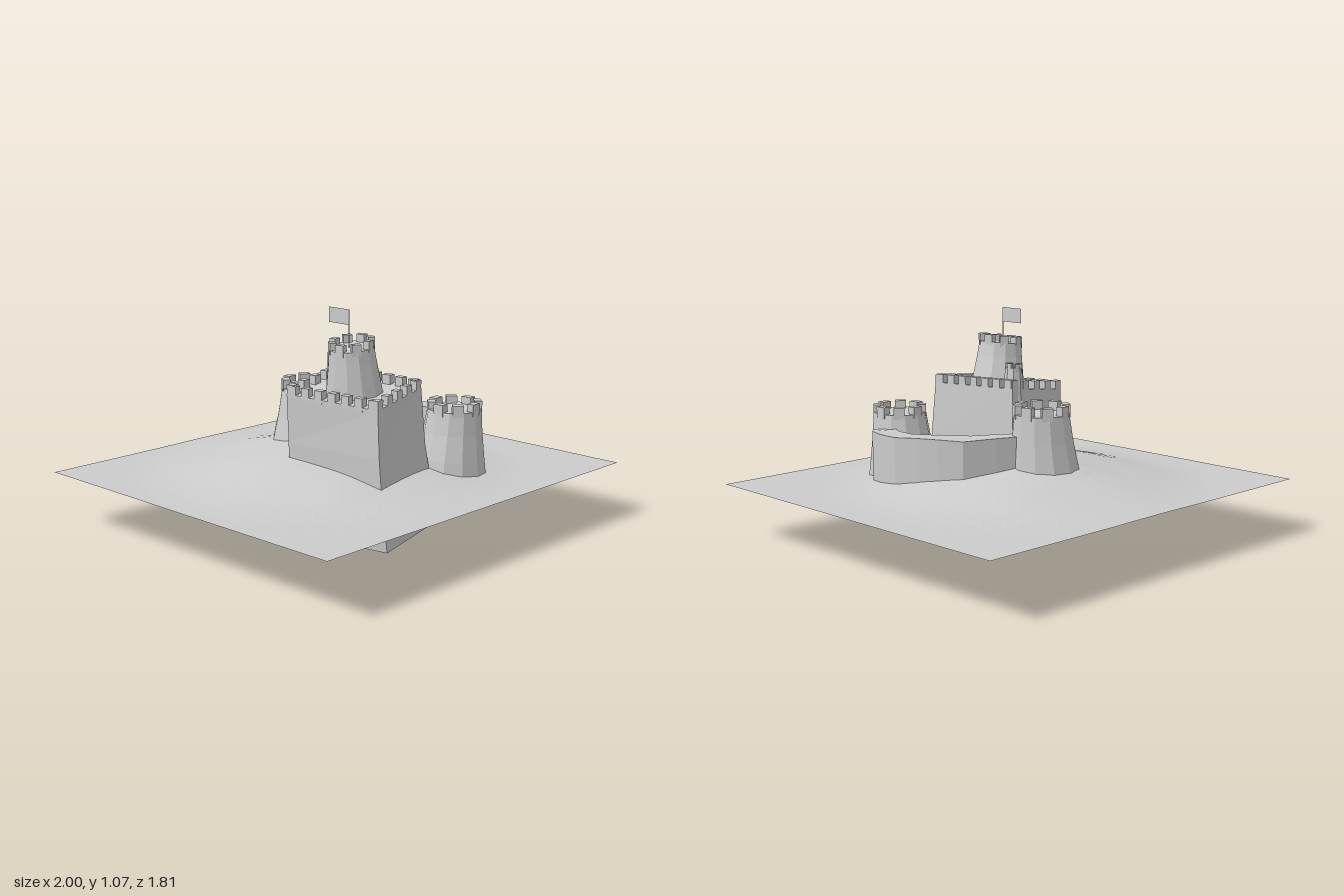
import * as THREE from 'three';

const V = (x, y, z) => new THREE.Vector3(x, y, z);
const material = new THREE.MeshStandardMaterial({ color: 0xcccccc, flatShading: true });
const thinMaterial = new THREE.MeshStandardMaterial({ color: 0xcccccc, flatShading: true, side: THREE.DoubleSide });

function add(parent, geometry, name, mat = material) {
  const mesh = new THREE.Mesh(geometry, mat);
  mesh.name = name;
  parent.add(mesh);
  return mesh;
}

// Skin a series of equal-length point rings and cap both ends.
function loft(rings) {
  const out = [];
  const tri = (...pts) => pts.forEach((p) => out.push(p.x, p.y, p.z));
  const n = rings[0].length;
  const middle = (ring) => ring.reduce((s, p) => s.add(p), V(0, 0, 0)).divideScalar(n);
  const first = rings[0], last = rings[rings.length - 1];
  const c0 = middle(first), c1 = middle(last);
  for (let i = 0; i < n; i++) {
    const j = (i + 1) % n;
    for (let k = 0; k + 1 < rings.length; k++) {
      const a = rings[k], b = rings[k + 1];
      tri(a[i], a[j], b[j]);
      tri(a[i], b[j], b[i]);
    }
    tri(c0, first[j], first[i]);
    tri(c1, last[i], last[j]);
  }
  const g = new THREE.BufferGeometry();
  g.setAttribute('position', new THREE.Float32BufferAttribute(out, 3));
  g.computeVertexNormals();
  return g;
}

// Ring of points around a centre; tilt raises the +x side.
function circle([x, y, z, r], sides, tilt = 0) {
  return Array.from({ length: sides }, (_, i) => {
    const a = (i / sides) * Math.PI * 2;
    return V(x + r * Math.cos(a), y + tilt * r * Math.cos(a), z - r * Math.sin(a));
  });
}

// A merlon block whose outer face sits at point p, facing along angle.
function merlon(parent, p, angle, width, height, depth) {
  const g = new THREE.BoxGeometry(depth, height + 0.02, width);
  g.translate(-depth / 2, height / 2 - 0.01, 0);
  const m = add(parent, g, 'merlon');
  m.position.copy(p);
  m.rotation.y = angle;
}

// Tapered round tower; sections are [x, y, z, radius].
function tower(name, sections, { sides = 12, tilt = 0, count = 8, block, phase = 0.2 }) {
  const g = new THREE.Group();
  g.name = name;
  add(g, loft(sections.map((s, i) => circle(s, sides, (tilt * i) / (sections.length - 1)))), name + 'Body');
  const [x, y, z, r] = sections[sections.length - 1];
  for (let i = 0; i < count; i++) {
    const a = phase + (i / count) * Math.PI * 2;
    const c = Math.cos(a) * r * 0.99;
    merlon(g, V(x + c, y + tilt * c, z - Math.sin(a) * r * 0.99), a, ...block);
  }
  return g;
}

// Gentle hill, open underneath.
function hill() {
  const g = new THREE.PlaneGeometry(2, 1.81, 26, 24).rotateX(-Math.PI / 2);
  const p = g.attributes.position;
  for (let i = 0; i < p.count; i++) {
    const x = p.getX(i), z = p.getZ(i);
    const r = Math.min(1, Math.hypot(x + 0.04, z + 0.03) / 0.95);
    const f = (1 + Math.cos(Math.PI * r)) / 2;
    const bump = 0.06 * Math.sin(9 * x + 5 * z) * Math.sin(7 * z - 4 * x);
    p.setY(i, 0.268 + 0.14 * f * (1 + bump));
  }
  g.computeVertexNormals();
  return g;
}

export function createModel() {
  const model = new THREE.Group();
  model.name = 'castle';
  add(model, hill(), 'hill', thinMaterial);

  // Leaning square keep with a deep foundation; corners run front right, back right, back left, front left
  const keep = new THREE.Group();
  keep.name = 'keep';
  const keepTop = [V(0.085, 0.71, 0.435), V(0.03, 0.725, -0.045), V(-0.335, 0.68, -0.01), V(-0.265, 0.67, 0.49)];
  add(keep, loft([
    [V(0.155, 0.055, 0.46), V(0.08, 0.05, -0.065), V(-0.3, 0.002, -0.015), V(-0.225, 0.015, 0.515)],
    [V(0.125, 0.3, 0.46), V(0.055, 0.3, -0.065), V(-0.318, 0.28, -0.015), V(-0.258, 0.28, 0.51)],
    [V(0.1, 0.45, 0.45), V(0.04, 0.45, -0.055), V(-0.325, 0.45, -0.01), V(-0.265, 0.45, 0.5)],
    keepTop,
  ]), 'keepBody');
  keepTop.forEach((a, i) => {
    const b = keepTop[(i + 1) % 4];
    const d = b.clone().sub(a);
    const angle = Math.atan2(-d.z, d.x) - Math.PI / 2;
    const count = i % 2 ? 5 : 7;
    for (let k = 0; k < count; k++) {
      merlon(keep, a.clone().lerp(b, 0.06 + (0.88 * k) / (count - 1)), angle, 0.042, 0.04, 0.035);
    }
  });
  model.add(keep);

  // Round towers
  model.add(tower('greatTower', [
    [-0.125, 0.66, 0.22, 0.138], [-0.135, 0.74, 0.222, 0.127], [-0.148, 0.84, 0.225, 0.112], [-0.155, 0.905, 0.226, 0.105],
  ], { tilt: 0.12, block: [0.042, 0.034, 0.03] }));
  model.add(tower('turret', [
    [-0.022, 0.64, 0, 0.05], [-0.024, 0.74, 0.002, 0.046], [-0.027, 0.815, 0.004, 0.04],
  ], { sides: 8, tilt: 0.1, count: 6, block: [0.02, 0.02, 0.014] }));
  model.add(tower('backTower', [
    [-0.018, 0.27, -0.215, 0.178], [-0.012, 0.36, -0.215, 0.168], [0.002, 0.5, -0.216, 0.147], [0.012, 0.63, -0.218, 0.132],
  ], { block: [0.052, 0.042, 0.036] }));
  model.add(tower('frontTower', [
    [0.285, 0.265, 0.445, 0.173], [0.285, 0.36, 0.448, 0.16], [0.29, 0.48, 0.455, 0.14], [0.292, 0.588, 0.462, 0.127],
  ], { block: [0.052, 0.035, 0.036], phase: 0.05 }));

  // Curved curtain wall; each row is outer x, outer z, inner x, inner z, top height
  const wall = [
    [0.1, -0.2, 0.08, -0.12, 0.53], [0.23, -0.145, 0.18, -0.06, 0.53], [0.375, -0.075, 0.25, 0.005, 0.525],
    [0.44, 0.02, 0.34, 0.075, 0.53], [0.49, 0.12, 0.4, 0.16, 0.53], [0.53, 0.22, 0.415, 0.23, 0.525],
    [0.527, 0.33, 0.415, 0.32, 0.525], [0.505, 0.41, 0.395, 0.37, 0.525], [0.45, 0.47, 0.36, 0.41, 0.52],
  ].map(([ox, oz, ix, iz, top]) => [V(ox, 0.28, oz), V(ox, top, oz), V(ix, top, iz), V(ix, 0.28, iz)]);
  add(model, loft(wall), 'curtainWall');

  // Flag and pole
  add(model, new THREE.CylinderGeometry(0.002, 0.002, 0.18, 6), 'flagPole').position.set(-0.168, 0.985, 0.222);
  const flag = add(model, new THREE.PlaneGeometry(0.125, 0.07), 'flag', thinMaterial);
  flag.rotation.y = Math.PI / 2;
  flag.position.set(-0.168, 1.04, 0.16);

  return model;
}
